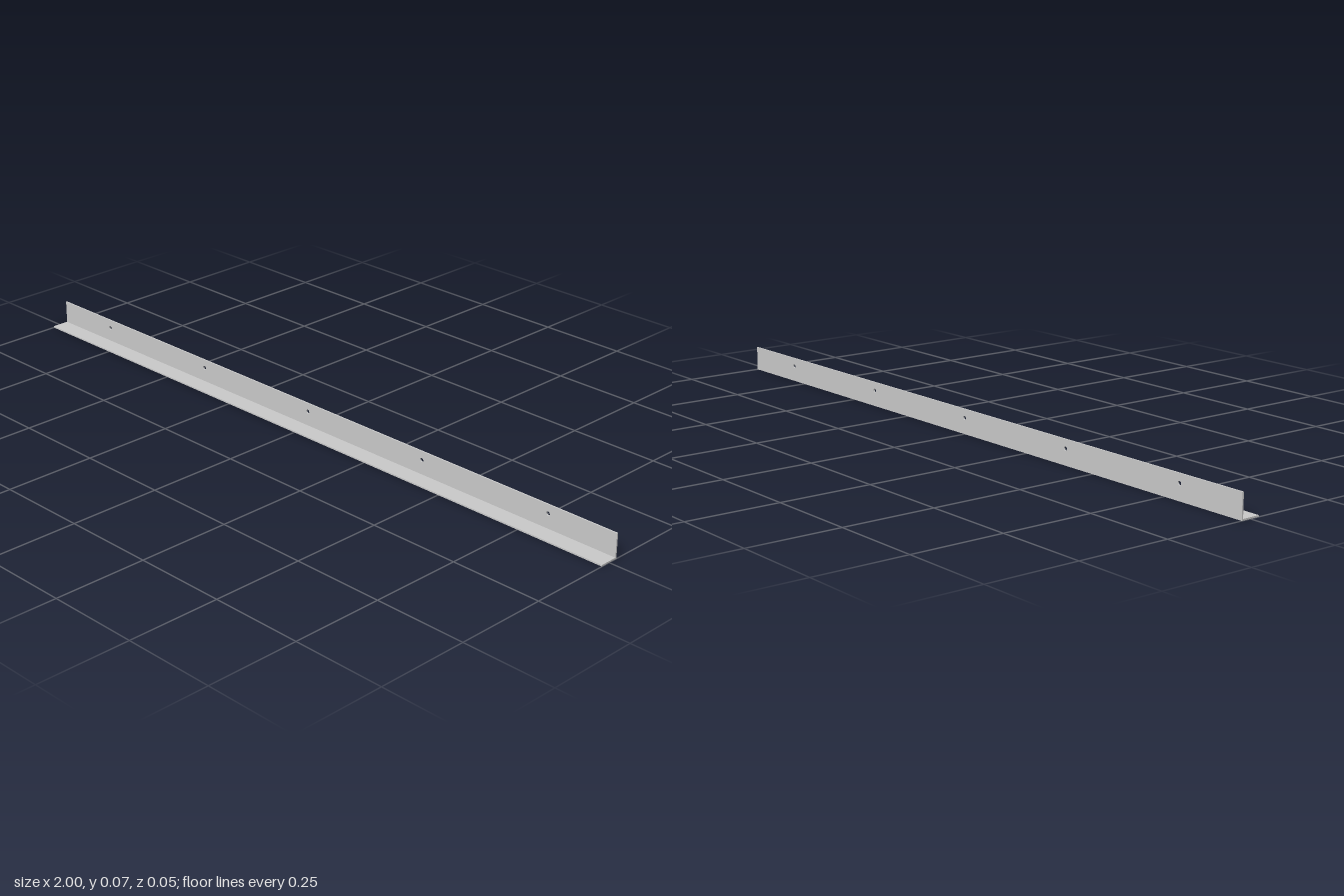
import * as THREE from 'three';

const LENGTH = 2, HEIGHT = 0.0667, DEPTH = 0.0533, THICK = 0.004;
const HOLE_Y = 0.043, HOLE_R = 0.0055, HOLES = 5, SPACING = 0.4;

export function createModel() {
  const group = new THREE.Group();
  group.name = 'angleBar';
  const material = new THREE.MeshStandardMaterial({ color: 0xcccccc });

  // Upright flange at the back, drilled with a row of evenly spaced holes
  const outline = new THREE.Shape([
    new THREE.Vector2(-LENGTH / 2, 0),
    new THREE.Vector2(LENGTH / 2, 0),
    new THREE.Vector2(LENGTH / 2, HEIGHT),
    new THREE.Vector2(-LENGTH / 2, HEIGHT),
  ]);
  for (let i = 0; i < HOLES; i++) {
    const x = (i - (HOLES - 1) / 2) * SPACING;
    outline.holes.push(new THREE.Path().absarc(x, HOLE_Y, HOLE_R, 0, Math.PI * 2, true));
  }
  const upright = new THREE.Mesh(
    new THREE.ExtrudeGeometry(outline, { depth: THICK, bevelEnabled: false, curveSegments: 24 }),
    material
  );
  upright.name = 'uprightFlange';
  upright.position.z = -DEPTH / 2;
  group.add(upright);

  // Plain bottom flange reaching forward from the upright
  const bottom = new THREE.Mesh(new THREE.BoxGeometry(LENGTH, THICK, DEPTH - THICK), material);
  bottom.name = 'bottomFlange';
  bottom.position.set(0, THICK / 2, THICK / 2);
  group.add(bottom);

  return group;
}
